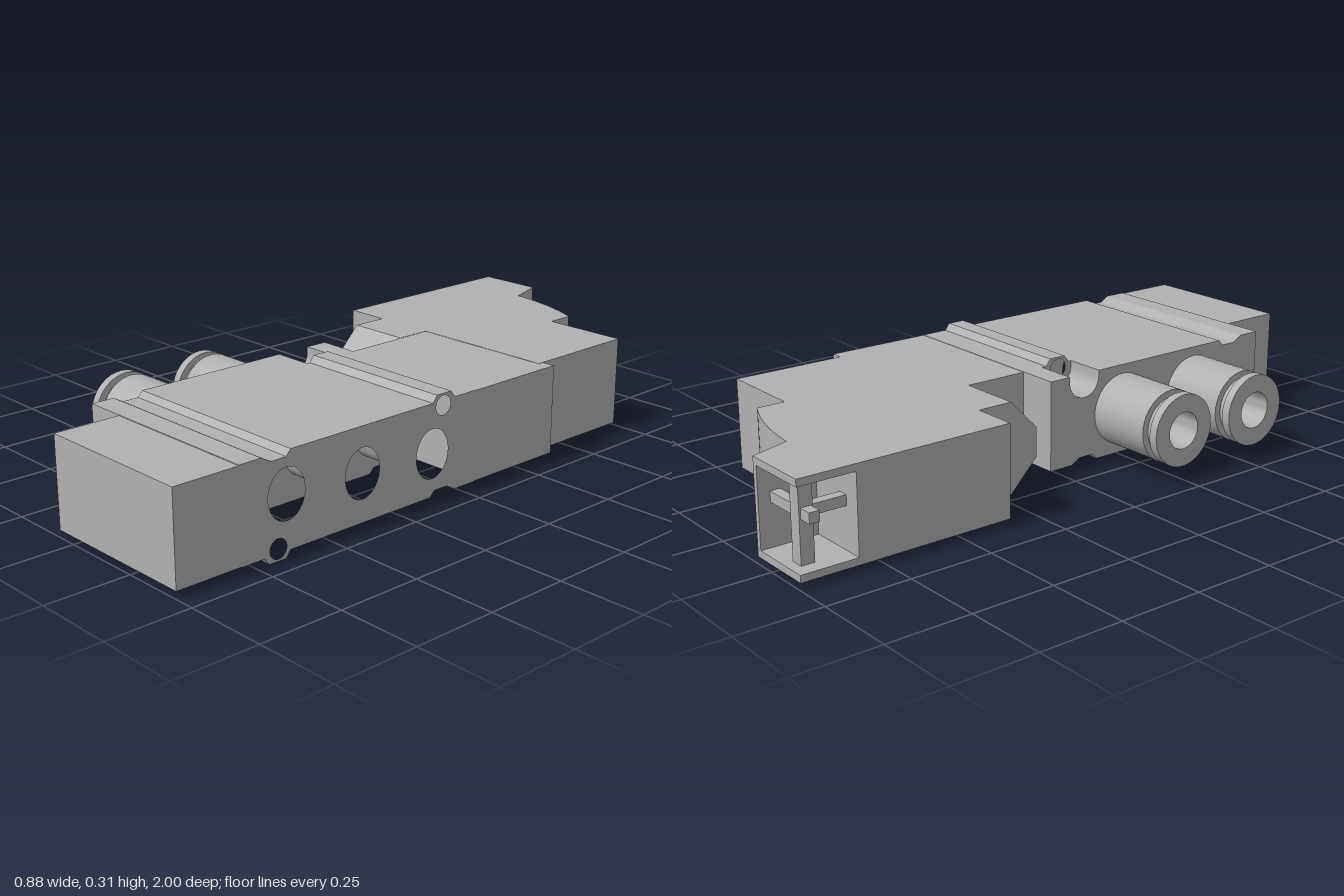
import * as THREE from 'three';
import { toCreasedNormals } from 'three/addons/utils/BufferGeometryUtils.js';

const V = (a, b) => new THREE.Vector2(a, b);

export function createModel() {
  const group = new THREE.Group();
  const grey = new THREE.MeshStandardMaterial({ color: 0xb0b0b0 });

  const add = (name, geometry, parent = group) => {
    const mesh = new THREE.Mesh(toCreasedNormals(geometry, 0.5), grey);
    mesh.name = name;
    parent.add(mesh);
    return mesh;
  };

  // Box given by its limits on each axis
  const box = (name, x0, x1, y0, y1, z0, z1, parent) => {
    const g = new THREE.BoxGeometry(x1 - x0, y1 - y0, z1 - z0);
    g.translate((x0 + x1) / 2, (y0 + y1) / 2, (z0 + z1) / 2);
    return add(name, g, parent);
  };

  // Extrude a [z, y] profile along x; holes are [z, y, rz, ry]
  const alongX = (name, points, x0, x1, holes = []) => {
    const shape = new THREE.Shape(points.map(([z, y]) => V(-z, y)));
    for (const [z, y, rz, ry] of holes) {
      shape.holes.push(new THREE.Path().absellipse(-z, y, rz, ry, 0, Math.PI * 2, true));
    }
    const g = new THREE.ExtrudeGeometry(shape, { depth: x1 - x0, bevelEnabled: false, curveSegments: 32 });
    g.rotateY(Math.PI / 2).translate(x0, 0, 0);
    return add(name, g);
  };

  // Extrude an [x, z] outline upwards
  const alongY = (name, points, y0, y1) => {
    const shape = new THREE.Shape(points.map(([x, z]) => V(x, -z)));
    const g = new THREE.ExtrudeGeometry(shape, { depth: y1 - y0, bevelEnabled: false });
    g.rotateX(-Math.PI / 2).translate(0, y0, 0);
    return add(name, g);
  };

  // Valve body: the underside is the top edge turned half a circle
  const flip = ([z, y]) => [0.77 - z, 0.3125 - y];
  const notch = [[0.73, 0.292], [0.7, 0.275], [0.65, 0.275], [0.635, 0.292]];
  const rib = [[0.13, 0.292], [0.115, 0.312], [0.06, 0.312], [0.045, 0.292]];
  const groove = [[0.14, 0.292]];
  for (let i = 0; i <= 16; i++) {
    const a = (i / 16) * Math.PI;
    groove.push([0.085 + 0.055 * Math.cos(a), 0.275 - 0.055 * Math.sin(a)]);
  }
  groove.push([0.03, 0.292]);
  const profile = (feature) => {
    const top = [...notch, ...feature];
    return [[0.8, 0.292], ...top, [-0.04, 0.292], [-0.04, 0.0205], ...top.map(flip), [0.8, 0.0205]];
  };
  const screwHoles = [[0.09, 0.278, 0.028, 0.028], [0.68, 0.0345, 0.028, 0.028]];
  const ports = [[0.65, 0.175], [0.39, 0.16], [0.13, 0.147]].map((p) => [...p, 0.061, 0.072]);
  alongX('fittingSideBody', profile(groove), -0.185, -0.06);
  alongX('middleBody', profile(rib), -0.06, 0.2, screwHoles);
  alongX('portSideBody', profile(rib), 0.2, 0.44, [...screwHoles, ...ports]);

  // End blocks
  box('frontEndBlock', -0.06, 0.44, 0.022, 0.29, 0.8, 1);
  box('rearAdapter', -0.06, 0.44, 0.022, 0.291, -0.37, -0.04);

  // Wedge latch in front of the solenoid
  alongX('wedgeLatch', [[-0.35, 0.292], [-0.24, 0.292], [-0.15, 0.2], [-0.15, 0.113],
    [-0.24, 0.021], [-0.35, 0.021]], -0.255, -0.06);

  // Solenoid housing, with a plug socket open at the rear corner
  const arc = new THREE.QuadraticBezierCurve(V(-0.145, -0.88), V(0.01, -0.868), V(0.135, -0.805))
    .getPoints(14).map((p) => [p.x, p.y]);
  const rest = [[-0.185, -1], ...arc, [0.135, -0.72], [0.4, -0.72], [0.4, -0.35], [-0.39, -0.35]];
  const full = [[-0.39, -1], ...rest];
  alongY('solenoidFloor', full, 0.021, 0.042);
  alongY('solenoidHousing', [[-0.39, -0.83], [-0.2, -0.83], [-0.2, -1], ...rest], 0.042, 0.271);
  alongY('solenoidRoof', full, 0.271, 0.292);

  // Cross-shaped divider inside the socket
  const socket = new THREE.Group();
  socket.name = 'socketDivider';
  group.add(socket);
  box('socketPost', -0.345, -0.305, 0.042, 0.271, -0.97, -0.93, socket);
  box('socketCrossbar', -0.385, -0.2, 0.165, 0.195, -0.965, -0.935, socket);
  box('socketRearBar', -0.34, -0.31, 0.165, 0.195, -0.935, -0.83, socket);

  // Push-in tube fittings on the right side
  const fittingProfile = [[0.108, 0], [0.108, 0.205], [0.088, 0.205], [0.088, 0.233],
    [0.108, 0.233], [0.108, 0.26], [0.055, 0.26], [0.055, 0.06], [0, 0.06]].map((p) => V(...p));
  for (const z of [0.235, 0.525]) {
    const fitting = add('tubeFitting', new THREE.LatheGeometry(fittingProfile, 40));
    fitting.rotation.z = Math.PI / 2;
    fitting.position.set(-0.185, 0.157, z);
  }
  return group;
}
